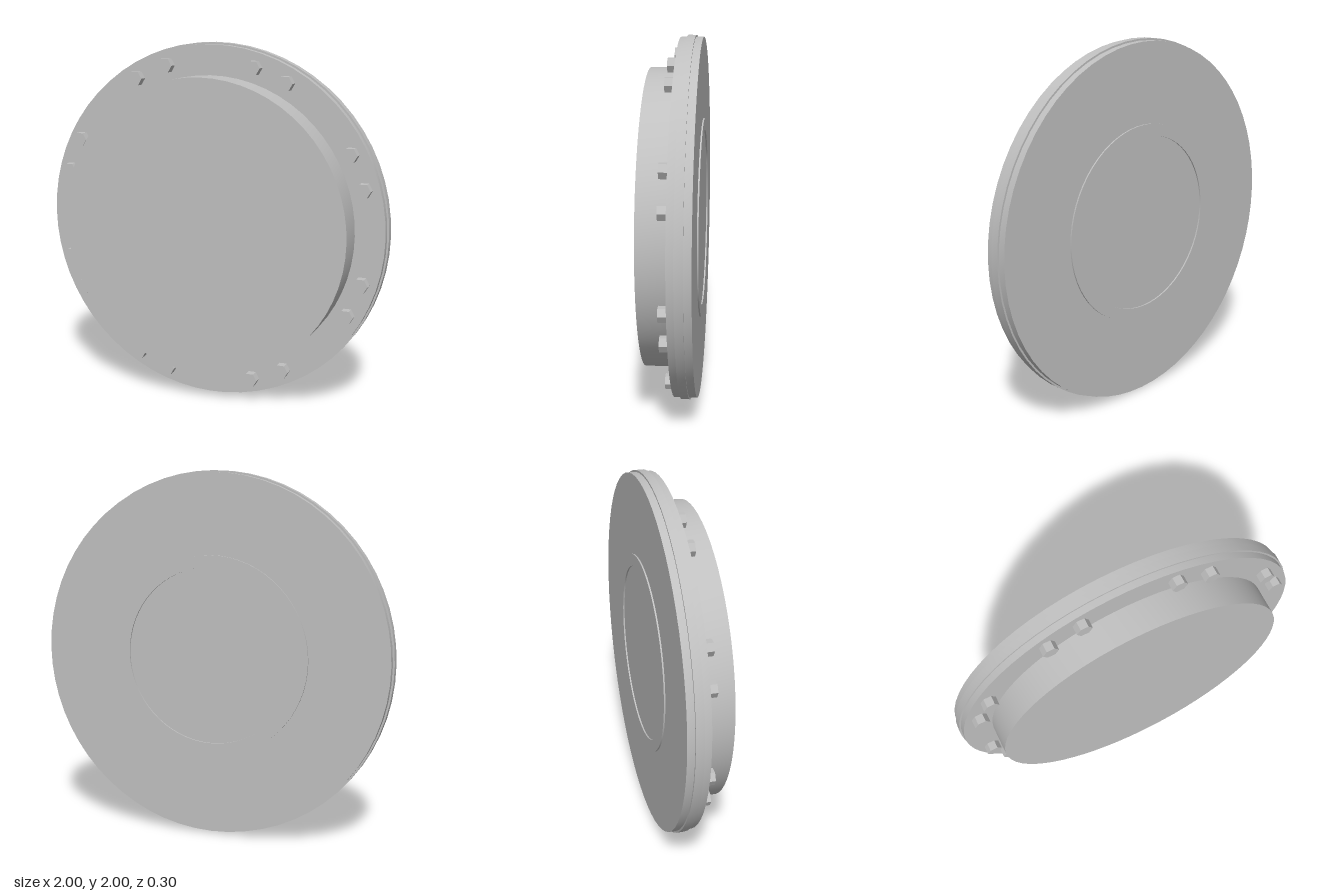
import * as THREE from 'three';
import { toCreasedNormals } from 'three/addons/utils/BufferGeometryUtils.js';

export function createModel() {
  const group = new THREE.Group();
  const metal = new THREE.MeshStandardMaterial({ color: 0xc0c0c0 });
  metal.name = 'light grey metal';

  // Adds a round part turned about the z axis from [radius, z] pairs, back to front
  function turned(name, profile) {
    const points = profile.map(([r, z]) => new THREE.Vector2(r, z));
    const geometry = toCreasedNormals(new THREE.LatheGeometry(points, 64), 0.5);
    geometry.rotateX(Math.PI / 2);
    const mesh = new THREE.Mesh(geometry, metal);
    mesh.name = name;
    mesh.position.y = 1;
    group.add(mesh);
  }

  // Flange: stepped rim, with a low raised ring on the back
  turned('flange', [
    [0, -0.14], [0.485, -0.14], [0.485, -0.148], [0.55, -0.148], [0.55, -0.14],
    [0.99, -0.14], [0.99, -0.1], [1, -0.1], [1, -0.055],
    [0.99, -0.055], [0.99, -0.017], [0.8, -0.017],
  ]);

  // Closed drum on the front
  turned('drum', [[0.825, -0.017], [0.825, 0.148], [0, 0.148]]);

  // Hexagonal bolt heads: four per quarter turn, all with points to the sides
  const boltGeometry = new THREE.CylinderGeometry(0.042, 0.042, 0.05, 6).toNonIndexed();
  boltGeometry.rotateY(Math.PI / 2);
  boltGeometry.rotateX(Math.PI / 2);
  boltGeometry.computeVertexNormals();
  for (const degrees of [16.3, 28.8, 61.2, 73.7]) {
    const angle = THREE.MathUtils.degToRad(degrees);
    for (const sx of [-1, 1]) {
      for (const sy of [-1, 1]) {
        const bolt = new THREE.Mesh(boltGeometry, metal);
        bolt.name = 'bolt';
        bolt.position.set(sx * 0.909 * Math.cos(angle), 1 + sy * 0.909 * Math.sin(angle), 0.005);
        group.add(bolt);
      }
    }
  }
  return group;
}
